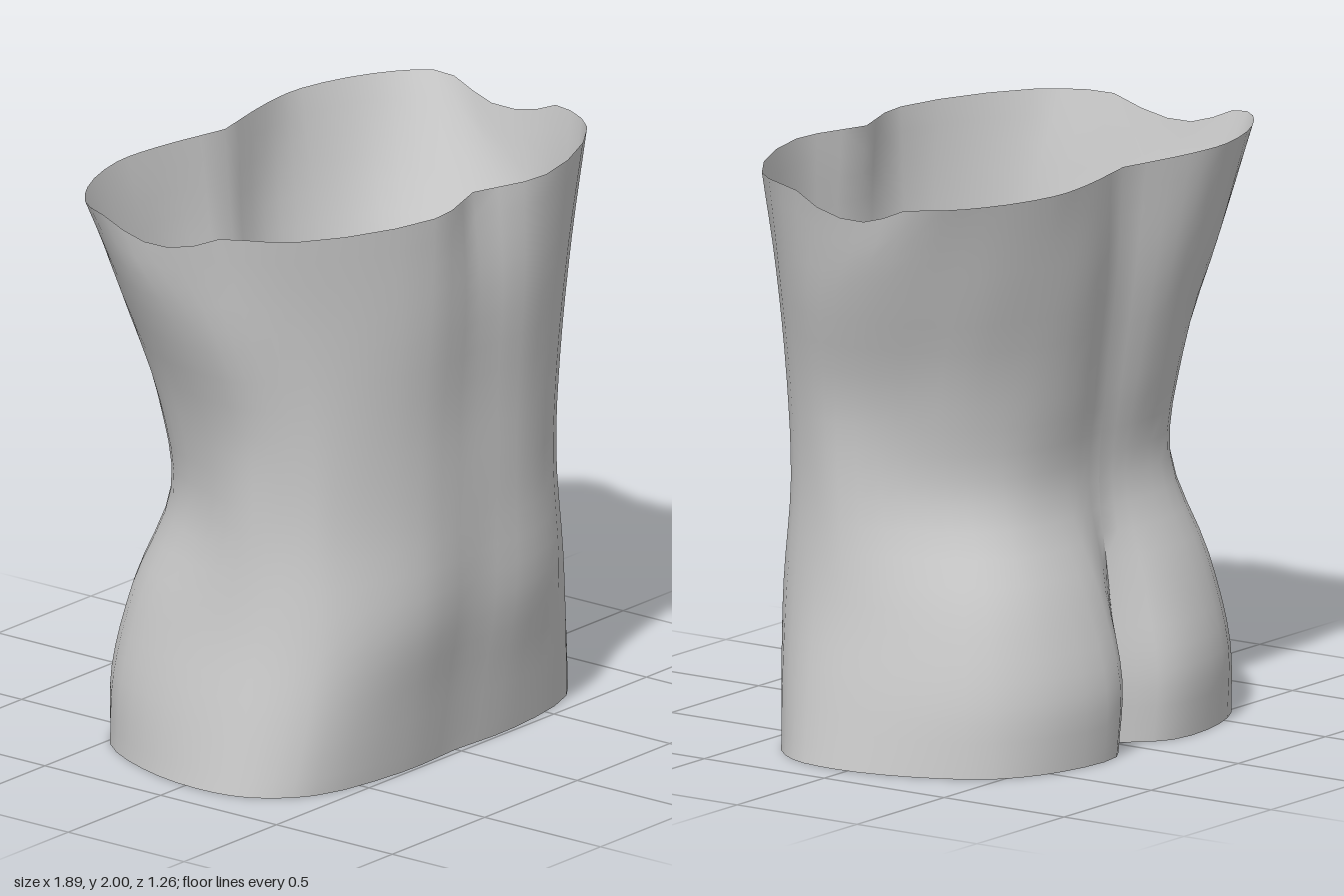
import * as THREE from 'three';

// Half cross-sections [x, z], from the back centre round the +x side to the front centre
const rings = [
  { y: 0.00, p: [[0, -.47], [.16, -.61], [.45, -.595], [.68, -.475], [.82, -.22], [.87, .05], [.835, .25], [.68, .41], [.3, .485], [0, .475]] },
  { y: 0.25, p: [[0, -.49], [.16, -.625], [.46, -.6], [.68, -.46], [.79, -.22], [.825, .07], [.785, .27], [.64, .44], [.3, .525], [0, .515]] },
  { y: 0.55, p: [[0, -.46], [.17, -.55], [.45, -.525], [.63, -.41], [.73, -.2], [.768, .09], [.73, .28], [.6, .46], [.3, .575], [0, .56]] },
  { y: 0.90, p: [[0, -.42], [.2, -.435], [.42, -.4], [.57, -.29], [.67, -.1], [.738, .13], [.7, .28], [.6, .43], [.3, .565], [0, .57]] },
  { y: 1.25, p: [[0, -.45], [.22, -.48], [.45, -.43], [.63, -.3], [.715, -.1], [.757, .13], [.73, .27], [.61, .44], [.3, .575], [0, .57]] },
  { y: 1.65, p: [[0, -.495], [.25, -.55], [.48, -.52], [.7, -.42], [.835, -.23], [.874, .05], [.825, .24], [.66, .45], [.3, .612], [0, .585]] },
  { y: 2.00, p: [[0, -.52], [.3, -.582], [.5, -.59], [.77, -.5], [.93, -.36], [.94, -.12], [.91, .18], [.78, .42], [.3, .625], [0, .55]] },
];
const HALF = 27, ROWS = 24, AROUND = HALF * 2;
const CLEFT_TOP = 0.65;

// Armhole dip in the upper rim, fading out down the side
function dip(x, y, z) {
  if (Math.abs(x) < 0.6 || z < -0.35 || z > 0.23) return 0;
  const across = Math.sin(Math.PI * (z + 0.35) / 0.58);
  return 0.07 * Math.min(1, 1.3 * across * across) * THREE.MathUtils.smoothstep(y, 1.6, 2);
}

function torsoGeometry() {
  // Smooth vertical curves through matching points of every ring
  const columns = rings[0].p.map((_, i) => new THREE.CatmullRomCurve3(
    rings.map(r => new THREE.Vector3(r.p[i][0], r.y, r.p[i][1]))));
  const pos = [], index = [];
  for (let j = 0; j <= ROWS; j++) {
    const section = new THREE.CatmullRomCurve3(columns.map(c => c.getPoint(j / ROWS)));
    for (let i = 0; i <= AROUND; i++) {
      const mirrored = i > HALF;
      const v = section.getPoint((mirrored ? AROUND - i : i) / HALF);
      pos.push(mirrored ? -v.x : v.x, v.y - dip(v.x, v.y, v.z), v.z);
    }
  }
  for (let j = 0; j < ROWS; j++) {
    for (let i = 0; i < AROUND; i++) {
      const a = j * (AROUND + 1) + i, b = a + AROUND + 1;
      index.push(a, b, a + 1, a + 1, b, b + 1);
    }
  }
  const geo = new THREE.BufferGeometry();
  geo.setAttribute('position', new THREE.Float32BufferAttribute(pos, 3));
  geo.setIndex(index);
  geo.computeVertexNormals();
  // The back seam is smooth along the spine and stays creased in the cleft
  const n = geo.attributes.normal, v = new THREE.Vector3();
  for (let j = 0; j <= ROWS; j++) {
    const a = j * (AROUND + 1);
    if (pos[a * 3 + 1] < CLEFT_TOP) continue;
    for (const k of [a, a + AROUND]) {
      v.fromBufferAttribute(n, k).setX(0).normalize();
      n.setXYZ(k, v.x, v.y, v.z);
    }
  }
  return geo;
}

export function createModel() {
  const model = new THREE.Group();
  model.name = 'torso';
  const grey = new THREE.MeshStandardMaterial({ color: 0xcccccc, side: THREE.DoubleSide });
  grey.name = 'light grey';
  const shell = new THREE.Mesh(torsoGeometry(), grey);
  shell.name = 'torsoShell';
  model.add(shell);
  return model;
}
